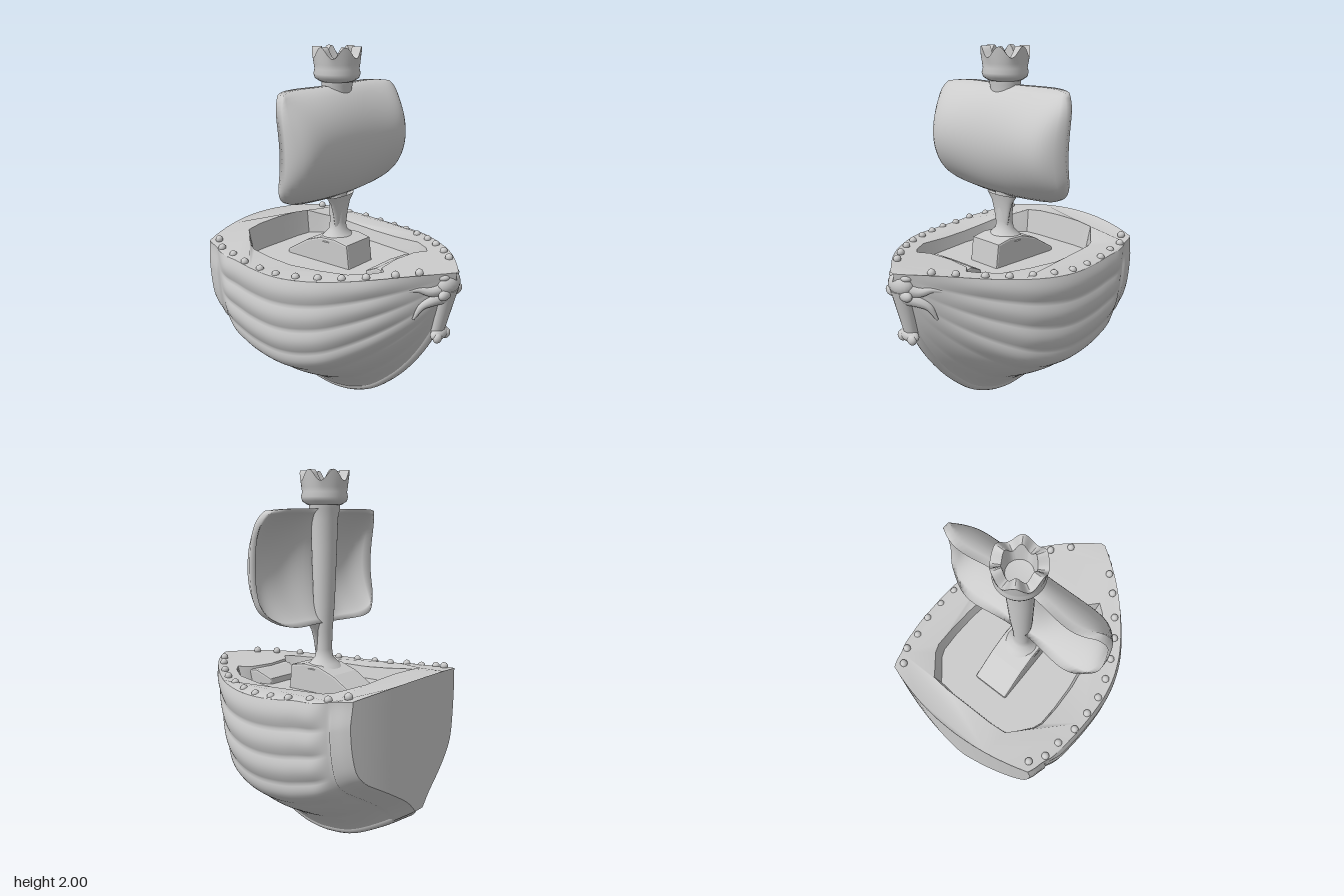
import * as THREE from 'three';
import { mergeVertices, toCreasedNormals } from 'three/addons/utils/BufferGeometryUtils.js';

const grey = new THREE.MeshStandardMaterial({ color: 0xcccccc });
const greyThin = new THREE.MeshStandardMaterial({ color: 0xcccccc, side: THREE.DoubleSide });
const V = (x, y, z) => new THREE.Vector3(x, y, z);

// Smooth lookup through [x, y] pairs with rising x
function lookup(p) {
  const slope = i => {
    const a = p[Math.max(i - 1, 0)], b = p[Math.min(i + 1, p.length - 1)];
    return (b[1] - a[1]) / (b[0] - a[0]);
  };
  return x => {
    x = Math.min(Math.max(x, p[0][0]), p[p.length - 1][0]);
    let i = 0;
    while (i < p.length - 2 && x > p[i + 1][0]) i++;
    const d = p[i + 1][0] - p[i][0], t = (x - p[i][0]) / d, t2 = t * t, t3 = t2 * t;
    return (2 * t3 - 3 * t2 + 1) * p[i][1] + (t3 - 2 * t2 + t) * d * slope(i)
      + (3 * t2 - 2 * t3) * p[i + 1][1] + (t3 - t2) * d * slope(i + 1);
  };
}

// Grid surface from a function of (u, v); front face is du x dv
function grid(fn, nu, nv) {
  const g = new THREE.PlaneGeometry(1, 1, nu, nv), uv = g.attributes.uv;
  for (let i = 0; i < uv.count; i++) {
    const q = fn(uv.getX(i), uv.getY(i));
    g.attributes.position.setXYZ(i, q.x, q.y, q.z);
  }
  g.computeVertexNormals();
  return g;
}

function reshape(g, fn) {
  const p = g.attributes.position, q = V(0, 0, 0);
  for (let i = 0; i < p.count; i++) {
    q.fromBufferAttribute(p, i);
    fn(q);
    p.setXYZ(i, q.x, q.y, q.z);
  }
  g.computeVertexNormals();
  return g;
}

// Hull rules along z (bow is +z)
const STERN = -0.71, BOW = 0.7;
const { lerp, smoothstep: sm } = THREE.MathUtils;
const halfWidth = lookup([[-0.71, 0.47], [-0.68, 0.485], [-0.6, 0.5], [-0.5, 0.522], [-0.25, 0.548], [0, 0.54], [0.2, 0.475],
  [0.4, 0.34], [0.55, 0.2], [0.65, 0.08], [0.7, 0.012]]);
const keelY = lookup([[-0.71, 0.27], [-0.66, 0.235], [-0.5, 0.13], [-0.3, 0.03], [-0.12, 0], [0, 0.01],
  [0.1, 0.04], [0.2, 0.09], [0.3, 0.17], [0.4, 0.27], [0.5, 0.4], [0.58, 0.54], [0.65, 0.72], [0.7, 0.88]]);
const rimCentre = lookup([[-0.71, 0.98], [-0.56, 0.98], [-0.4, 0.925], [-0.2, 0.895], [0, 0.89], [0.3, 0.91], [0.55, 0.935], [0.7, 0.935]]);
const midSection = lookup([[0, 0.04], [0.1, 0.19], [0.2, 0.42], [0.29, 0.64], [0.35, 0.78], [0.42, 0.88], [0.52, 0.94], [0.7, 0.98], [1, 1]]);
// The rim arches towards the stern
const rimY = (x, z) => rimCentre(z) - 0.05 * (1 - sm(z, -0.6, -0.3)) * (x / 0.49) ** 2;
const sternZ = x => STERN + 0.09 * (x / 0.49) ** 2;

function hullPoint(z, h, s) {
  const bow = sm(z, 0.15, 0.7);
  const band = (1 - sm(z, -0.59, -0.56)) * (1 - sm(h, 0.8, 1));
  const f = lerp(midSection(h), 0.06 + 0.94 * Math.pow(h, 0.75), bow * 0.7);
  const ripple = 0.017 * Math.abs(Math.sin(Math.PI * 6 * h)) * (1 - sm(z, 0.35, 0.65)) * sm(z, -0.56, -0.4) * sm(h, 0.02, 0.2);
  const x = s * (halfWidth(z) * f + ripple + 0.016 * band);
  const zz = z + 0.09 * (1 - sm(z, STERN, -0.42)) * (x / 0.49) ** 2;
  return V(x, lerp(keelY(z) + 0.015, rimY(x, zz), h), zz);
}

export function createModel() {
  const model = new THREE.Group();
  const add = (name, geometry, parent = model, material = grey) => {
    const m = new THREE.Mesh(geometry, material);
    m.name = name;
    parent.add(m);
    return m;
  };

  // Planked hull and transom
  add('hull', grid((u, v) => hullPoint(STERN + v * (BOW - STERN), Math.abs(2 * u - 1), u < 0.5 ? -1 : 1), 120, 90));
  add('transom', grid((u, v) => {
    const x = hullPoint(STERN, u, 1).x * (2 * v - 1), z = sternZ(x);
    return V(x, lerp(keelY(STERN) + 0.015, rimY(x, z), u), z);
  }, 30, 24));

  // Keel and stem
  const keelPath = [];
  for (let i = 0; i <= 24; i++) {
    const z = -0.67 + i / 24 * 1.35, d = (keelY(z + 0.01) - keelY(z - 0.01)) / 0.02, n = Math.hypot(1, d);
    keelPath.push(V(0, keelY(z) + 0.042 / n, z - 0.042 * d / n));
  }
  add('keel', new THREE.TubeGeometry(new THREE.CatmullRomCurve3(keelPath), 60, 0.042, 16));
  add('keelEnd', new THREE.SphereGeometry(0.042, 16, 12)).position.copy(keelPath[0]);

  // Well outline, mirrored
  const half = [[0.0, -0.55], [0.15, -0.55], [0.25, -0.54], [0.29, -0.49], [0.35, -0.42], [0.37, -0.37], [0.375, -0.25],
    [0.37, -0.1], [0.345, 0.08], [0.32, 0.25], [0.25, 0.35], [0.2, 0.39], [0.15, 0.34], [0, 0.32]];
  const well = [...half, ...half.slice(1, -1).reverse().map(([x, z]) => [-x, z])];

  // Deck rim around the well
  const outline = [];
  for (let i = 0; i <= 40; i++) outline.push(hullPoint(STERN + i / 40 * (BOW - STERN), 1, 1));
  for (let i = 40; i >= 0; i--) outline.push(hullPoint(STERN + i / 40 * (BOW - STERN), 1, -1));
  const edge = outline[0].x;
  for (let i = 1; i < 16; i++) {
    const x = -edge + 2 * edge * i / 16;
    outline.push(V(x, 0, sternZ(x)));
  }
  const flat = pts => pts.map(([x, z]) => new THREE.Vector2(x, -z));
  const deckShape = new THREE.Shape(flat(outline.map(p => [p.x, p.z])));
  deckShape.holes.push(new THREE.Path(flat(well)));
  add('deck', reshape(new THREE.ShapeGeometry(deckShape).rotateX(-Math.PI / 2), p => { p.y = rimY(p.x, p.z); }), model, greyThin);

  // Sunken well walls and floor
  const FLOOR = 0.825, TAPER = 0.95;
  const inset = ([x, z], k) => [x * k, (z + 0.08) * k - 0.08];
  add('wellWall', toCreasedNormals(grid((u, v) => {
    const p = well[Math.round(u * well.length) % well.length], [x, z] = inset(p, lerp(TAPER, 1, v));
    return V(x, lerp(FLOOR, rimY(p[0], p[1]), v), z);
  }, well.length, 3), 0.7), model, greyThin);
  const floorShape = new THREE.Shape(flat(well.map(p => inset(p, TAPER))));
  add('wellFloor', new THREE.ShapeGeometry(floorShape).rotateX(-Math.PI / 2).translate(0, FLOOR, 0), model, greyThin);

  // Side profiles (z, y) extruded across the boat
  const slab = (pts, w) => new THREE.ExtrudeGeometry(new THREE.Shape(pts.map(p => new THREE.Vector2(...p))),
    { depth: w - 0.02, bevelSize: 0.01, bevelThickness: 0.01, bevelSegments: 2 }).translate(0, 0, 0.01 - w / 2).rotateY(-Math.PI / 2);
  add('mastBlock', slab([[-0.36, 0.78], [0.08, 0.78], [0.06, 0.95], [-0.02, 0.965], [-0.12, 0.96], [-0.22, 0.925], [-0.36, 0.84]], 0.21));
  add('bowStep', reshape(slab([[0.21, 0.78], [0.35, 0.78], [0.35, 0.89], [0.3, 0.89], [0.22, 0.85]], 0.26), p => { p.x *= 1 + (p.z - 0.25) * 2; }));

  // Rim studs
  const studs = new THREE.Group();
  studs.name = 'studs';
  model.add(studs);
  const studSpots = [[0.44, -0.58], [0.49, -0.5], [0.5, -0.4], [0.525, -0.285], [0.525, -0.17], [0.52, -0.06],
    [0.49, 0.05], [0.445, 0.16], [0.39, 0.27], [0.32, 0.37], [0.225, 0.48], [0.14, 0.565]];
  for (const [x, z] of studSpots) for (const s of [-1, 1])
    add('stud', new THREE.SphereGeometry(0.021, 12, 8), studs).position.set(s * x, rimY(x, z) + 0.005, z);

  // Mast, slightly oval, with a flared foot and a flattened flare under the sail
  const lathe = (pts, n = 32) => new THREE.LatheGeometry(pts.map(p => new THREE.Vector2(...p)), n);
  const mast = add('mast', lathe([[0.11, 0.95], [0.085, 0.975], [0.055, 1.005], [0.047, 1.05], [0.05, 1.15], [0.062, 1.3], [0.073, 1.6],
    [0.077, 1.75], [0.088, 1.8], [0.09, 1.84]]));
  mast.position.z = -0.08;
  mast.scale.z = 0.88;
  const flare = add('mastFlare', lathe([[0.045, 1.03], [0.058, 1.1], [0.077, 1.16], [0.11, 1.205]]), model, greyThin);
  flare.position.z = -0.06;
  flare.scale.z = 0.35;

  // Billowing sail with a wavy edge, thickened where it joins the mast
  const sheet = new THREE.BoxGeometry(2, 2, 2, 36, 28, 1);
  sheet.deleteAttribute('normal');
  sheet.deleteAttribute('uv');
  add('sail', reshape(mergeVertices(sheet), p => {
    const u = p.x, v = p.y, side = p.z, v2 = v * v;
    const billow = Math.pow(Math.max(1 - v2, 0), 0.75);
    const root = side < 0 ? 0.09 * Math.exp(-((u / 0.25) ** 2)) * billow : 0;
    p.x = 0.485 * u * (1 - 0.11 * v2 ** 3);
    p.y = 1.5 + 0.3 * v - (v > 0 ? 0.012 : -0.06) * u ** 6 * Math.abs(v);
    p.z = -0.085 - 0.03 * Math.sin(Math.PI * u * u) * v2 + 0.01 * u ** 8
      + billow * (0.165 + 0.02 * u * u - 0.13 * u ** 8) + side * 0.02 - root;
  }));

  // Crown lookout with six blunt points
  const crown = reshape(lathe([[0, 1.82], [0.09, 1.82], [0.117, 1.838], [0.124, 1.86], [0.118, 1.885], [0.122, 1.91], [0.13, 1.94],
    [0.08, 1.94], [0.065, 1.88], [0, 1.87]], 72), p => {
    if (p.y < 1.935) return;
    const wave = 0.5 + 0.5 * Math.cos(6 * (Math.atan2(p.x, p.z) - Math.PI / 2));
    p.y = 1.94 + 0.057 * wave;
  });
  add('crown', toCreasedNormals(crown, 0.7)).position.z = -0.08;

  // Horned beast figurehead
  const head = new THREE.Group();
  head.name = 'figurehead';
  model.add(head);
  const blob = (name, x, y, z, a, b, c) => {
    const m = add(name, new THREE.SphereGeometry(1, 20, 14), head);
    m.position.set(x, y, z);
    m.scale.set(a, b, c);
  };
  blob('skull', 0, 0.865, 0.645, 0.085, 0.065, 0.058);
  blob('snout', 0, 0.57, 0.61, 0.07, 0.035, 0.035);
  const bridge = add('noseBridge', new THREE.CylinderGeometry(0.065, 0.042, 0.27, 20), head);
  bridge.position.set(0, 0.71, 0.625);
  bridge.rotation.x = 0.2;
  bridge.scale.z = 0.75;
  for (const s of [-1, 1]) {
    blob('brow', s * 0.055, 0.82, 0.665, 0.045, 0.03, 0.025);
    blob('nostril', s * 0.04, 0.56, 0.625, 0.03, 0.028, 0.022);
    blob('poll', s * 0.045, 0.91, 0.645, 0.035, 0.022, 0.035);
    const spike = (name, r, pts) => {
      const path = new THREE.CatmullRomCurve3(pts.map(([x, y, z]) => V(s * x, y, z)));
      const g = new THREE.TubeGeometry(path, 16, r, 10);
      // Taper the tube towards its tip
      const uv = g.attributes.uv, pos = g.attributes.position;
      for (let i = 0; i < pos.count; i++) {
        const t = uv.getX(i), q = V(0, 0, 0).fromBufferAttribute(pos, i).lerp(path.getPointAt(t), t * 0.85);
        pos.setXYZ(i, q.x, q.y, q.z);
      }
      g.computeVertexNormals();
      add(name, g, head);
    };
    spike('horn', 0.042, [[0.04, 0.85, 0.64], [0.1, 0.84, 0.61], [0.15, 0.855, 0.57], [0.19, 0.85, 0.54]]);
    spike('ear', 0.042, [[0.03, 0.8, 0.64], [0.09, 0.785, 0.61], [0.13, 0.76, 0.58], [0.16, 0.69, 0.55]]);
  }
  return model;
}
